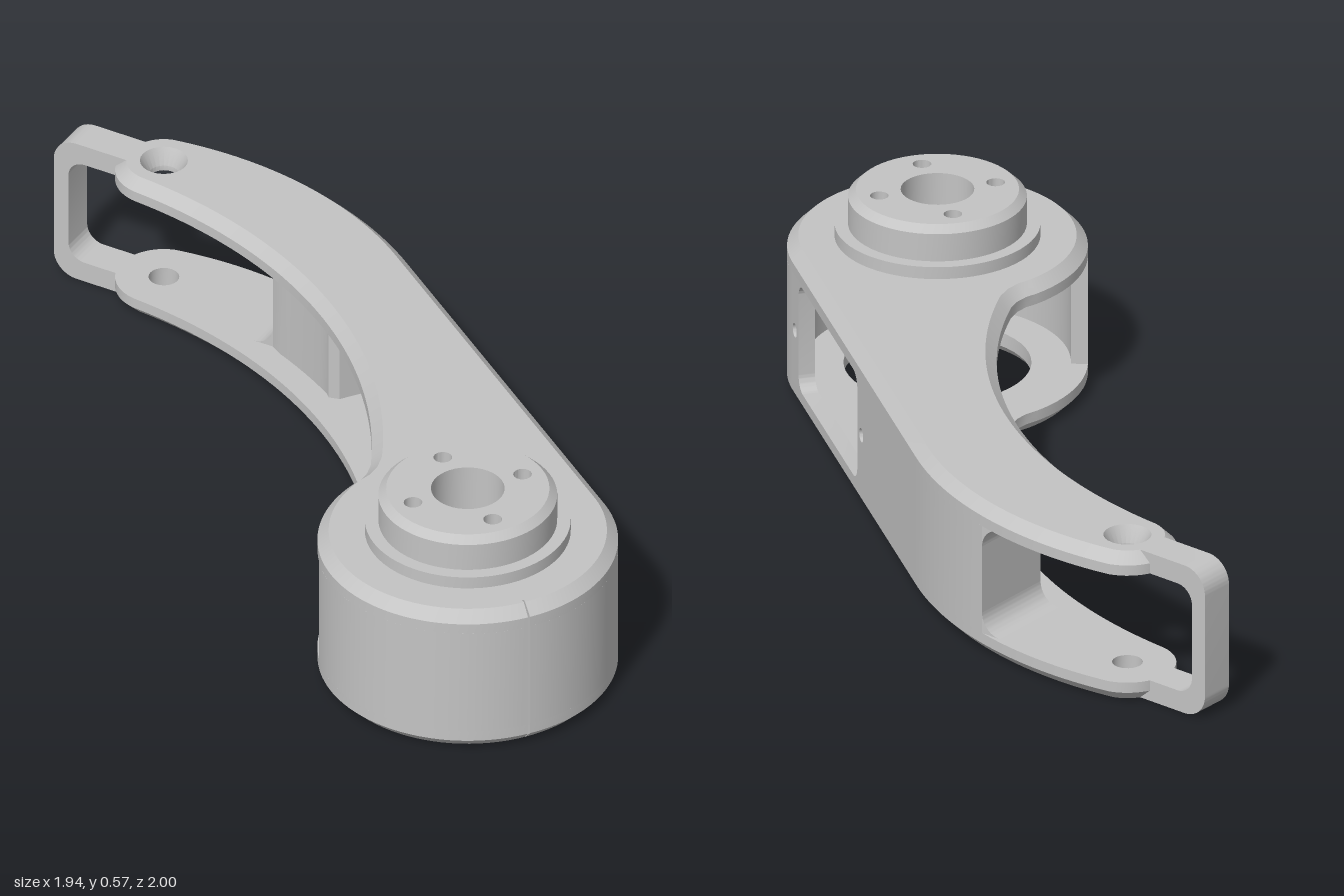
import * as THREE from 'three';
import { toCreasedNormals } from 'three/addons/utils/BufferGeometryUtils.js';

const V = (x, z) => new THREE.Vector2(x, z);
const RAD = Math.PI / 180;
const HUB = V(0.57, 0.6), TIP = V(-0.66, -0.87);
const HEIGHT = 0.435, PLATE = 0.06, CHAMFER = 0.03, WALL = 0.045;

// Plan-view arc (x, z), from angle a to b in degrees
function arc(c, r, a, b, n) {
  return Array.from({ length: n + 1 }, (_, i) => {
    const t = (a + (b - a) * i / n) * RAD;
    return V(c.x + r * Math.cos(t), c.y + r * Math.sin(t));
  });
}
const circle = (c, r, n = 48) => arc(c, r, 0, 360, n).slice(0, n);

// Solid stacked from plan-view rings; each ring is [y, points].
// Holes are stacks of rings with the same first and last height.
function stack(rings, holes = []) {
  const pos = [];
  const put = (p, y) => pos.push(p.x, y, p.y);
  const sides = (rs) => {
    for (let k = 0; k + 1 < rs.length; k++) {
      const [y0, a] = rs[k], [y1, b] = rs[k + 1];
      for (let i = 0; i < a.length; i++) {
        const j = (i + 1) % a.length;
        put(a[i], y0); put(b[i], y1); put(a[j], y0);
        put(a[j], y0); put(b[i], y1); put(b[j], y1);
      }
    }
  };
  const inner = holes.map((h) => h.map(([y, p]) => [y, [...p].reverse()]));
  sides(rings);
  inner.forEach(sides);
  for (const top of [false, true]) {
    const end = (rs) => rs[top ? rs.length - 1 : 0];
    const [y, contour] = end(rings);
    const cut = inner.map((h) => end(h)[1]);
    const all = [contour, ...cut].flat();
    for (const [a, b, c] of THREE.ShapeUtils.triangulateShape([...contour], cut.map((h) => [...h])))
      for (const i of top ? [a, c, b] : [a, b, c]) put(all[i], y);
  }
  const g = new THREE.BufferGeometry();
  g.setAttribute('position', new THREE.Float32BufferAttribute(pos, 3));
  return toCreasedNormals(g, 0.5);
}

function roundedRect(x0, y0, x1, y1, r) {
  const p = new THREE.Path();
  p.absarc(x0 + r, y0 + r, r, Math.PI, 1.5 * Math.PI);
  p.absarc(x1 - r, y0 + r, r, 1.5 * Math.PI, 2 * Math.PI);
  p.absarc(x1 - r, y1 - r, r, 0, 0.5 * Math.PI);
  p.absarc(x0 + r, y1 - r, r, 0.5 * Math.PI, Math.PI);
  p.closePath();
  return p;
}

export function createModel() {
  const group = new THREE.Group();
  const metal = new THREE.MeshStandardMaterial({ color: 0xc4c4c4 });
  metal.name = 'light grey metal';
  const add = (name, geometry) => {
    const m = new THREE.Mesh(geometry, metal);
    m.name = name;
    group.add(m);
    return m;
  };

  // Plan outline of the arm
  const convex = arc(V(-0.756, 0.079), 1.083, -85, -39.5, 36);
  const concave = [V(0.222, 0.405), V(0.231, 0.37), ...arc(V(-1.187, 0.615), 1.446, -11.4, -70.7, 40)];
  const hubStart = -39, hubEnd = 204, slitA = 50.6, slitB = 51.4;
  const hubA = arc(HUB, 0.4, hubStart, slitA, 24), hubB = arc(HUB, 0.4, slitB, hubEnd, 40);
  const outline = [...convex, ...hubA, ...hubB, ...concave, ...arc(TIP, 0.13, 116, 266, 24)];
  const inset = outline.map((p, i) => {
    const a = outline[(i + outline.length - 1) % outline.length], b = outline[(i + 1) % outline.length];
    const d = b.clone().sub(a).normalize();
    return V(p.x - d.y * CHAMFER, p.y + d.x * CHAMFER);
  });
  // Clamp slit cut into the rim
  const notch = arc(HUB, 0.36, slitA, slitB, 1);
  for (const o of [outline, inset]) o.splice(convex.length + hubA.length, 0, ...notch);

  // Top and bottom plates with chamfered outer rims
  const low = HEIGHT - PLATE;
  add('bottomPlate', stack(
    [[0, inset], [CHAMFER, outline], [PLATE, outline]],
    [[[0, circle(HUB, 0.265)], [0.02, circle(HUB, 0.25)], [PLATE, circle(HUB, 0.25)]],
      [[0, circle(TIP, 0.041, 24)], [PLATE, circle(TIP, 0.041, 24)]]]));
  add('topPlate', stack(
    [[low, outline], [HEIGHT - CHAMFER, outline], [HEIGHT, inset]],
    [[[low, circle(HUB, 0.23)], [HEIGHT, circle(HUB, 0.23)]],
      [[low, circle(TIP, 0.041, 24)], [low + 0.015, circle(TIP, 0.041, 24)], [HEIGHT, circle(TIP, 0.064, 24)]]]));

  // Round output boss with flange, bore and four bolt holes
  const boss = [[low, 0.23], [HEIGHT, 0.23], [HEIGHT, 0.274], [0.47, 0.274], [0.47, 0.238], [0.55, 0.238], [0.57, 0.217]];
  const bore = (c, r, n) => [[low, circle(c, r, n)], [0.57, circle(c, r, n)]];
  const bolts = [0, 1, 2, 3].map((i) => arc(HUB, 0.16, 50.5 + i * 90, 50.5 + i * 90, 1)[0]);
  add('hubBoss', stack(boss.map(([y, r]) => [y, circle(HUB, r, 64)]),
    [bore(HUB, 0.098, 40), ...bolts.map((b) => bore(b, 0.025, 16))]));

  // Curved hub wall, split at the clamp slit
  const wall = (a, b) => {
    const pts = [...arc(HUB, 0.4, a, b, 40), ...arc(HUB, 0.4 - WALL, b, a, 40)];
    return stack([[PLATE, pts], [low, pts]]);
  };
  add('hubWallOuter', wall(hubStart, slitA));
  add('hubWallFront', wall(slitB, 157));

  // Straight side wall with a window and two screw holes
  const from = convex[convex.length - 1], to = hubA[0];
  const run = to.clone().sub(from), length = run.length();
  const at = (z) => (z - from.y) / run.y * length;
  const panel = new THREE.Shape([V(0, PLATE), V(length, PLATE), V(length, low), V(0, low)]);
  panel.holes.push(roundedRect(at(-0.16), PLATE + 0.002, at(0.295), low - 0.002, 0.04));
  for (const z of [-0.19, 0.325]) panel.holes.push(new THREE.Path().absarc(at(z), 0.215, 0.02, 0, Math.PI * 2));
  const side = add('sideWall', toCreasedNormals(
    new THREE.ExtrudeGeometry(panel, { depth: WALL, bevelEnabled: false, curveSegments: 10 }), 0.5));
  side.position.set(from.x, 0, from.y);
  side.rotation.y = Math.atan2(-run.y, run.x);

  // Solid web between the plates in the middle of the arm
  const jambOut = V(-0.235, -0.871), jambIn = V(-0.295, -0.628);
  const web = [jambOut, ...convex.filter((p) => p.x > jambOut.x + 0.005), V(0.08, -0.55),
    V(-0.06, -0.435), V(-0.09, -0.435), ...arc(V(-1.187, 0.615), 1.523, -44.5, -53, 6), jambIn];
  add('middleWeb', stack([[PLATE, web], [low, web]]));

  // Rounded corners where the web meets the plates at the tip opening
  const r = 0.06, jamb = jambIn.clone().sub(jambOut);
  for (const s of [1, -1]) {
    const f = new THREE.Shape();
    f.moveTo(0, 0);
    f.lineTo(0, s * r);
    f.absarc(-r, s * r, r, 0, -s * Math.PI / 2, s > 0);
    f.lineTo(0, 0);
    const m = add('webFillet', toCreasedNormals(
      new THREE.ExtrudeGeometry(f, { depth: jamb.length(), bevelEnabled: false, curveSegments: 8 }), 0.5));
    m.position.set(jambOut.x, s > 0 ? PLATE : low, jambOut.y);
    m.rotation.y = Math.atan2(jamb.x, jamb.y);
  }

  // Loop at the tip joining both plates
  const end = 0.235, R = 0.07, q = 0.05, bar = 0.045;
  const hook = new THREE.Shape();
  hook.moveTo(end, 0);
  hook.lineTo(end, PLATE);
  hook.absarc(bar + q, PLATE + q, q, -Math.PI / 2, -Math.PI, true);
  hook.absarc(bar + q, low - q, q, Math.PI, Math.PI / 2, true);
  hook.lineTo(end, low);
  hook.lineTo(end, HEIGHT);
  hook.absarc(R, HEIGHT - R, R, Math.PI / 2, Math.PI);
  hook.absarc(R, R, R, Math.PI, Math.PI * 1.5);
  hook.closePath();
  const loop = add('tipLoop', toCreasedNormals(
    new THREE.ExtrudeGeometry(hook, { depth: 0.1, bevelEnabled: false, curveSegments: 10 }).translate(0, 0, -0.05), 0.5));
  loop.position.set(-0.959, 0, -0.951);
  loop.rotation.y = -15 * RAD;
  return group;
}
